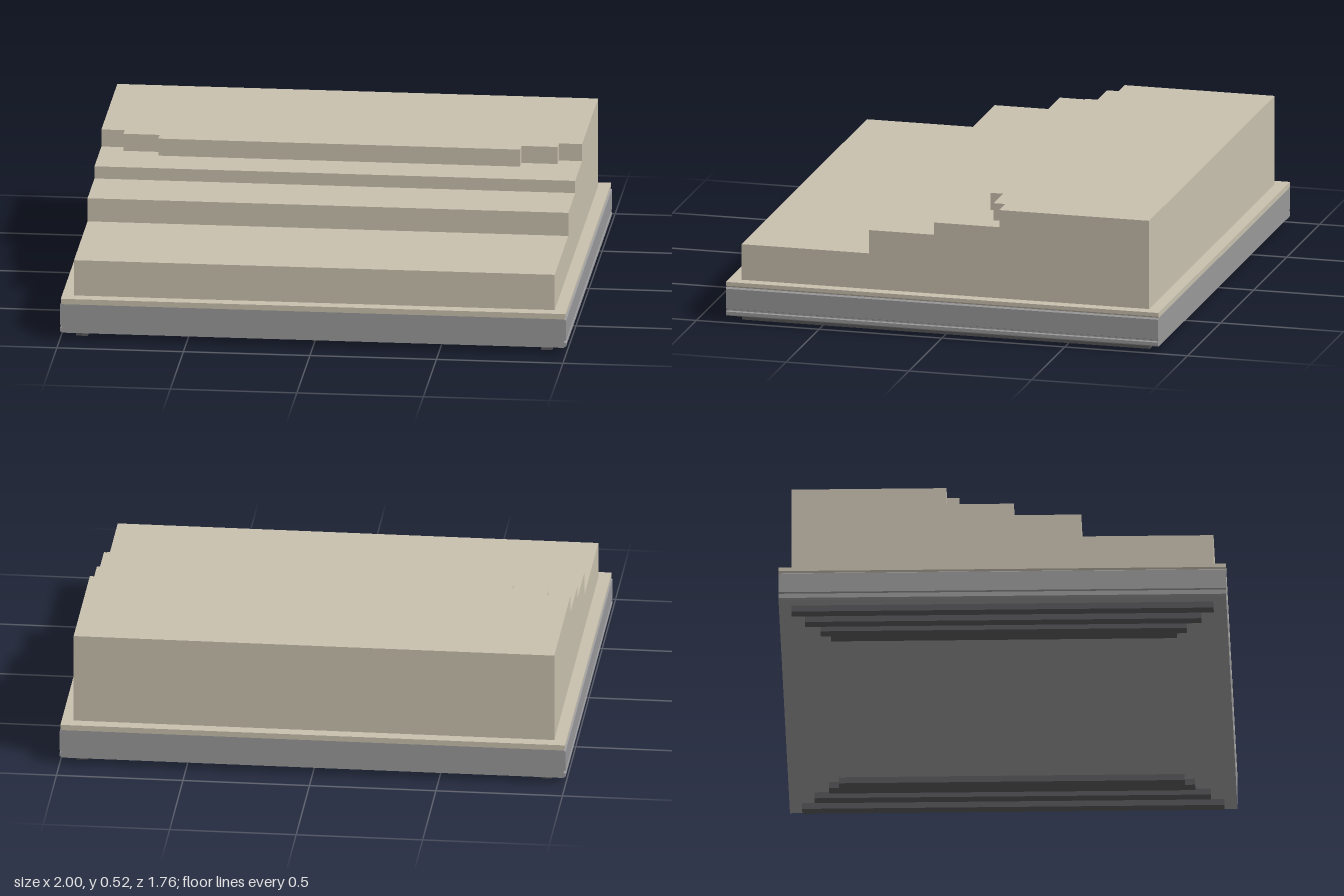
import * as THREE from 'three';

const tan = new THREE.MeshStandardMaterial({ name: 'tan', color: 0xc8c0ae });
const grey = new THREE.MeshStandardMaterial({ name: 'grey', color: 0x98989a });
const darkGrey = new THREE.MeshStandardMaterial({ name: 'darkGrey', color: 0x555557 });

// Extrudes a closed outline by depth along +z
function extrude(points, depth) {
  const shape = new THREE.Shape(points.map(([x, y]) => new THREE.Vector2(x, y)));
  return new THREE.ExtrudeGeometry(shape, { depth, bevelEnabled: false });
}

export function createModel() {
  const model = new THREE.Group();
  model.name = 'steppedBlock';
  const add = (name, geometry, material, x = 0, y = 0, z = 0) => {
    const mesh = new THREE.Mesh(geometry, material);
    mesh.name = name;
    mesh.position.set(x, y, z);
    model.add(mesh);
    return mesh;
  };

  // Grey base with shallow grooves along its left and right sides
  const side = [
    [0.99, 0.026], [1, 0.032], [1, 0.045], [0.992, 0.048], [0.992, 0.054],
    [1, 0.057], [1, 0.138], [0.992, 0.143],
  ];
  const mirrored = side.map(([x, y]) => [-x, y]).reverse();
  add('base', extrude([...side, ...mirrored], 1.76), grey, 0, 0, -0.88);

  // Tan flange lying on the base
  add('flange', extrude([
    [-0.99, 0.143], [0.99, 0.143], [0.997, 0.15], [0.997, 0.165],
    [-0.997, 0.165], [-0.997, 0.15],
  ], 1.76), tan, 0, 0, -0.88);

  // Stepped body: side outline (-z, y) swept across the width
  const body = extrude([
    [-0.83, 0.165], [0.83, 0.165], [0.83, 0.455], [-0.045, 0.455],
    [-0.045, 0.405], [-0.31, 0.405], [-0.31, 0.31], [-0.83, 0.31],
  ], 1.9);
  body.rotateY(Math.PI / 2);
  add('steppedBody', body, tan, -0.95);

  // Top slab whose front edge steps back toward both sides (x, -z)
  const edge = [[0.95, 0.83], [0.95, 0.22], [0.858, 0.22], [0.858, 0.172], [0.715, 0.172], [0.715, 0.122]];
  const top = extrude([...edge.map(([x, z]) => [-x, z]), ...edge.slice().reverse()], 0.07);
  top.rotateX(-Math.PI / 2);
  add('topSlab', top, tan, 0, 0.455, 0);

  // Foot rails: centre, width and half length, mirrored left and right
  const rails = [[0.918, 0.046, 0.83], [0.82, 0.046, 0.78], [0.73, 0.05, 0.72], [0.683, 0.046, 0.68]];
  for (const s of [-1, 1]) {
    for (const [x, w, half] of rails) {
      add('footRail', new THREE.BoxGeometry(w, 0.027, half * 2), darkGrey, s * x, 0.0135, 0);
    }
  }
  return model;
}
